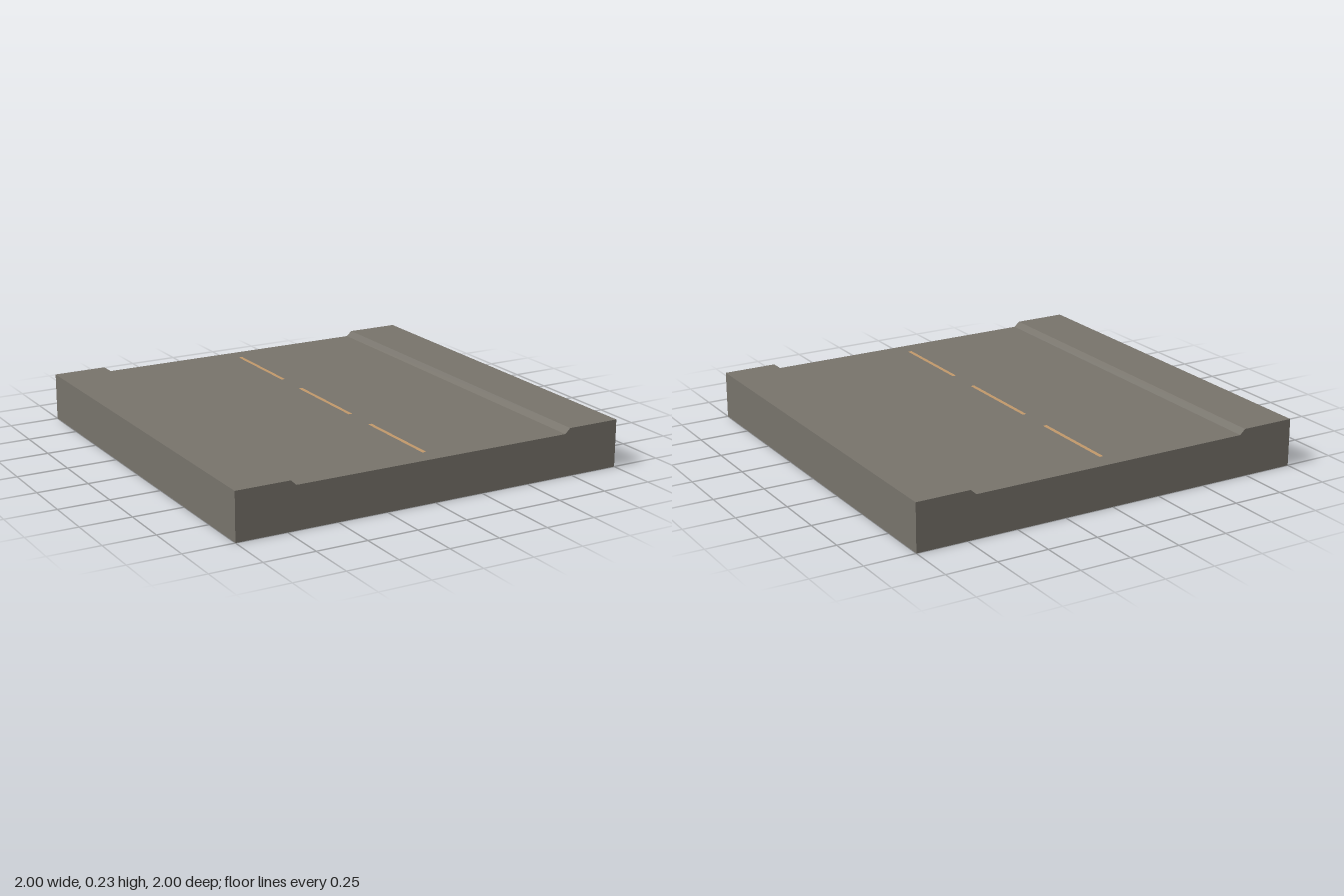
import * as THREE from 'three';

export function createModel() {
  const model = new THREE.Group();
  const asphalt = new THREE.MeshStandardMaterial({ color: 0x77736b });
  asphalt.name = 'asphalt grey';
  const paint = new THREE.MeshStandardMaterial({ color: 0xc0986a });
  paint.name = 'lane paint tan';

  const kerbY = 0.233, roadY = 0.208;

  // Road slab: cross-section with raised pavements and sloped kerbs
  const section = new THREE.Shape([
    [-1, 0], [1, 0], [1, kerbY], [0.733, kerbY], [0.706, roadY],
    [-0.706, roadY], [-0.733, kerbY], [-1, kerbY],
  ].map(([x, y]) => new THREE.Vector2(x, y)));
  const slabGeometry = new THREE.ExtrudeGeometry(section, { depth: 2, bevelEnabled: false });
  slabGeometry.translate(0, 0, -1);
  const slab = new THREE.Mesh(slabGeometry, asphalt);
  slab.name = 'roadSlab';
  model.add(slab);

  // Dashed centre line, painted flat on the road
  for (const [z, length] of [[-0.665, 0.475], [0, 0.495], [0.665, 0.475]]) {
    const dash = new THREE.Mesh(new THREE.PlaneGeometry(0.02, length), paint);
    dash.name = 'laneDash';
    dash.rotation.x = -Math.PI / 2;
    dash.position.set(0, roadY + 0.001, z);
    model.add(dash);
  }
  return model;
}
